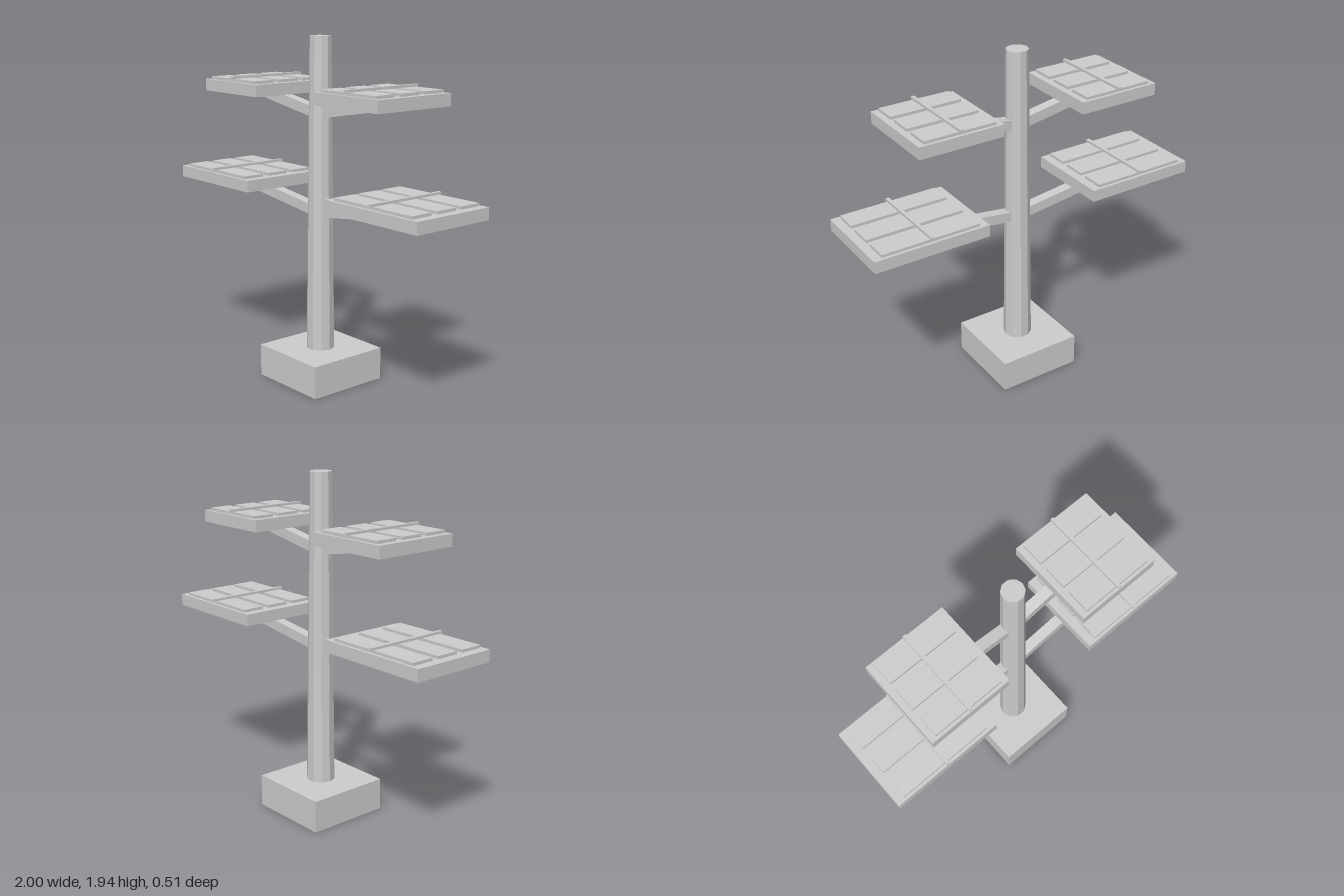
import * as THREE from 'three';

const grey = new THREE.MeshStandardMaterial({ color: 0xcccccc, flatShading: true });
grey.name = 'plain grey';

function box(name, w, h, d, x, y, z) {
  const mesh = new THREE.Mesh(new THREE.BoxGeometry(w, h, d), grey);
  mesh.name = name;
  mesh.position.set(x, y, z);
  return mesh;
}

// Slab with three raised strips and a cross rail; its underside is at y = 0
function solarPanel(width) {
  const panel = new THREE.Group();
  panel.name = 'solarPanel';
  panel.add(box('panelSlab', width, 0.067, 0.508, 0, 0.0335, 0));
  for (const z of [-0.171, 0, 0.171]) {
    panel.add(box('cellStrip', width * 0.85, 0.016, 0.131, 0, 0.075, z));
  }
  panel.add(box('crossRail', 0.02, 0.015, 0.502, 0, 0.0895, 0));
  return panel;
}

// Sloping arm from the pole axis to the middle of the panel underside
function supportArm(startY, endX, endY) {
  const rise = endY - startY;
  const arm = box('supportArm', Math.hypot(endX, rise), 0.058, 0.06, endX / 2, (startY + endY) / 2, 0);
  arm.rotation.z = Math.atan2(rise, endX);
  return arm;
}

export function createModel() {
  const model = new THREE.Group();
  model.name = 'solarTree';

  model.add(box('base', 0.486, 0.183, 0.486, 0, 0.0915, 0));

  // Tapered ten-sided pole with corners on the x axis
  const pole = new THREE.Mesh(new THREE.CylinderGeometry(0.061, 0.081, 1.757, 10), grey);
  pole.name = 'pole';
  pole.rotation.y = Math.PI / 2;
  pole.position.y = 0.183 + 1.757 / 2;
  model.add(pole);

  // Two tiers of branches, mirrored left and right
  const tiers = [
    { name: 'lower', x: 0.668, y: 1.06, armY: 0.973, width: 0.664 },
    { name: 'upper', x: 0.484, y: 1.605, armY: 1.521, width: 0.482 },
  ];
  for (const tier of tiers) {
    for (const side of [1, -1]) {
      const branch = new THREE.Group();
      branch.name = tier.name + (side > 0 ? 'LeftBranch' : 'RightBranch');
      const panel = solarPanel(tier.width);
      panel.position.set(tier.x, tier.y, 0);
      branch.add(supportArm(tier.armY, tier.x, tier.y), panel);
      if (side < 0) branch.rotation.y = Math.PI;
      model.add(branch);
    }
  }
  return model;
}
